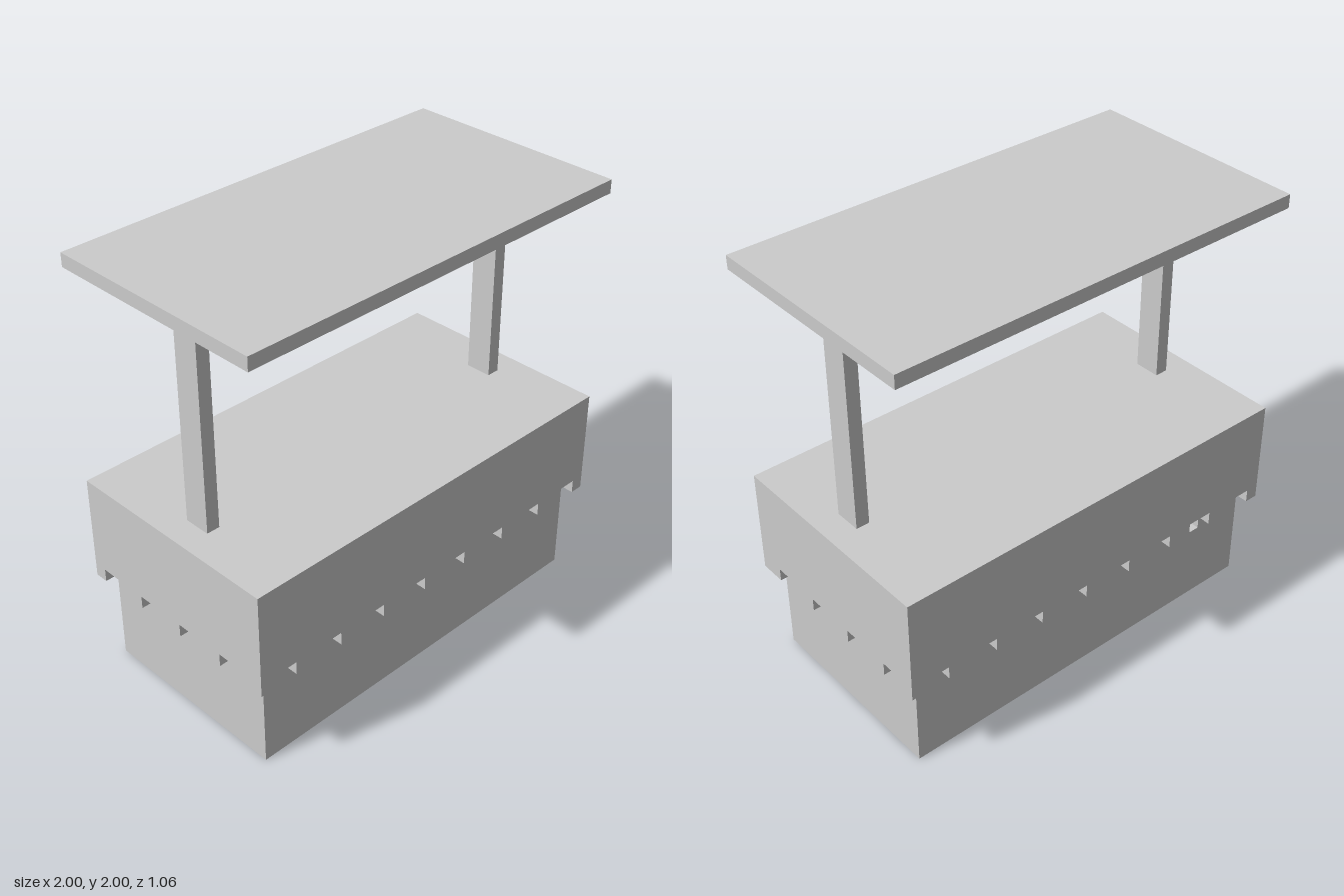
import * as THREE from 'three';

const U = 1 / 16; // block unit
const material = new THREE.MeshStandardMaterial({ color: 0xcccccc, flatShading: true });

// Box given by its min and max along each axis, in block units
function block(name, [x0, x1], [y0, y1], [z0, z1]) {
  const geometry = new THREE.BoxGeometry((x1 - x0) * U, (y1 - y0) * U, (z1 - z0) * U);
  geometry.translate((x0 + x1) / 2 * U, (y0 + y1) / 2 * U, (z0 + z1) / 2 * U);
  const mesh = new THREE.Mesh(geometry, material);
  mesh.name = name;
  return mesh;
}

export function createModel() {
  const model = new THREE.Group();
  model.name = 'stall';

  // Base, with a one-unit back panel that has a small notch in its top edge
  model.add(block('base', [-15, 15], [0, 8], [-6.5, 7.5]));
  const outline = [[-15, 0], [15, 0], [15, 8], [-9, 8], [-9, 6], [-11, 6], [-11, 8], [-15, 8]];
  const panel = new THREE.ExtrudeGeometry(
    new THREE.Shape(outline.map(([x, y]) => new THREE.Vector2(x * U, y * U))),
    { depth: U, bevelEnabled: false });
  panel.translate(0, 0, -7.5 * U);
  const basePanel = new THREE.Mesh(panel, material);
  basePanel.name = 'baseBackPanel';
  model.add(basePanel);

  // Overhanging cover
  model.add(block('cover', [-16, 16], [8, 15], [-8.5, 8.5]));

  // Hanging teeth around the cover's lower edge
  const teeth = new THREE.Group();
  teeth.name = 'coverTeeth';
  for (let x = -12; x <= 12; x += 4) {
    teeth.add(block('frontTooth', [x - 1, x + 1], [7, 8], [7.5, 8.5]));
    teeth.add(block('backTooth', [x - 1, x + 1], [7, 8], [-8.5, -7.5]));
  }
  for (let z = 8.5; z > -8; z -= 4) {
    const span = [Math.max(z - 2, -8.5), z];
    teeth.add(block('leftTooth', [15, 16], [7, 8], span));
    teeth.add(block('rightTooth', [-16, -15], [7, 8], span));
  }
  model.add(teeth);

  // Posts and roof
  model.add(block('leftPost', [13, 14], [15, 31], [-0.5, 1.5]));
  model.add(block('rightPost', [-14, -13], [15, 31], [-0.5, 1.5]));
  model.add(block('roof', [-16, 16], [31, 32], [-8.5, 8.5]));

  return model;
}
